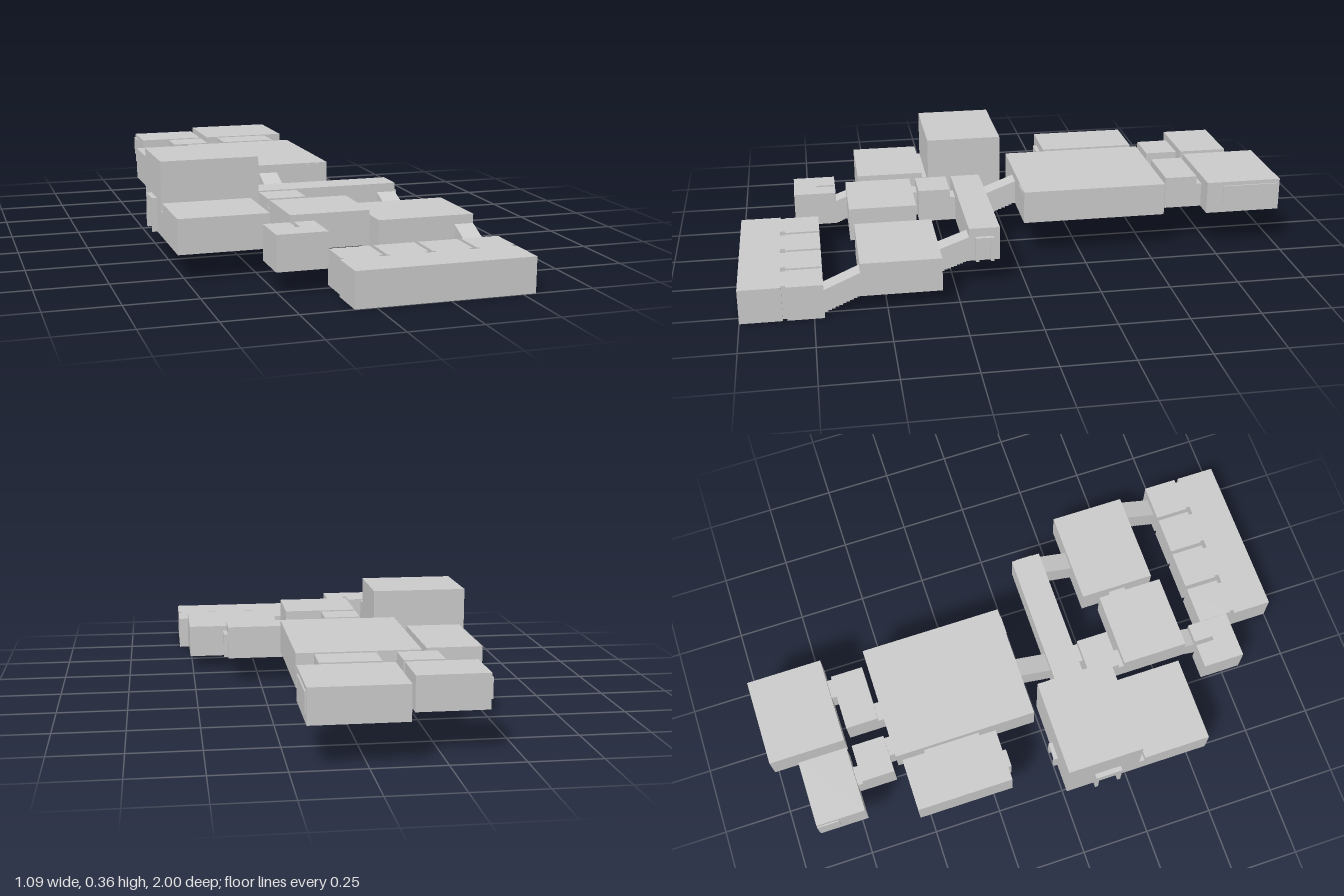
import * as THREE from 'three';

const material = new THREE.MeshStandardMaterial({ color: 0xcccccc, flatShading: true, side: THREE.DoubleSide });

export function createModel() {
  const group = new THREE.Group();

  const add = (name, geometry) => {
    const mesh = new THREE.Mesh(geometry, material);
    mesh.name = name;
    group.add(mesh);
    return mesh;
  };

  // Box given by its limits on each axis
  const block = (name, x0, x1, z0, z1, y0, y1) =>
    add(name, new THREE.BoxGeometry(x1 - x0, y1 - y0, z1 - z0))
      .position.set((x0 + x1) / 2, (y0 + y1) / 2, (z0 + z1) / 2);

  // Stair passage: sloped roof, stepped underside, descending towards +z
  const stairs = (name, x0, x1, z0, z1, yHigh, yLow, height = 0.09, steps = 10) => {
    const s = new THREE.Shape();
    s.moveTo(-z0, yHigh + height);
    s.lineTo(-z0, yHigh);
    for (let i = 1; i <= steps; i++) {
      const z = z0 + (z1 - z0) * i / steps;
      const y = yHigh + (yLow - yHigh) * i / steps;
      s.lineTo(-z, yHigh + (yLow - yHigh) * (i - 1) / steps);
      s.lineTo(-z, y);
    }
    s.lineTo(-z1, yLow + height);
    const g = new THREE.ExtrudeGeometry(s, { depth: x1 - x0, bevelEnabled: false });
    g.rotateY(Math.PI / 2);
    g.translate(x0, 0, 0);
    add(name, g);
  };

  // Door frame with an opening, standing out from a wall
  const doorFrame = (name, x, y, z, width, height, turn, depth = 0.015) => {
    const w = width / 2, t = 0.012;
    const s = new THREE.Shape([
      [-w, 0], [-w + t, 0], [-w + t, height - t], [w - t, height - t],
      [w - t, 0], [w, 0], [w, height], [-w, height],
    ].map(([a, b]) => new THREE.Vector2(a, b)));
    const frame = add(name, new THREE.ExtrudeGeometry(s, { depth, bevelEnabled: false }));
    frame.position.set(x, y, z);
    frame.rotation.y = turn;
  };

  // Upper level at the back
  const U = [0.145, 0.265], UD = [0.145, 0.235];
  block('backRoom', -0.13, 0.195, -1, -0.72, ...U);
  block('backSideRoom', -0.405, -0.16, -0.9, -0.72, ...U);
  block('leftLobby', -0.3, -0.16, -0.7, -0.58, ...U);
  block('rightLobby', -0.09, 0.12, -0.7, -0.58, ...U);
  block('mainHall', -0.25, 0.18, -0.56, -0.03, ...U);
  block('hallSideRoom', -0.465, -0.27, -0.54, -0.185, ...U);
  for (const [x0, x1, z0, z1] of [
    [-0.3, -0.23, -0.72, -0.7], [0.05, 0.12, -0.72, -0.7],
    [-0.23, -0.16, -0.58, -0.56], [-0.09, -0.02, -0.58, -0.56],
    [-0.27, -0.25, -0.455, -0.245],
  ]) block('upperDoorway', x0, x1, z0, z1, ...UD);
  block('backSideWindow', -0.41, -0.405, -0.9, -0.82, 0.18, 0.25);
  block('backWindow', 0.195, 0.2, -0.99, -0.78, 0.18, 0.25);
  block('hallWindow', 0.08, 0.15, -0.03, -0.027, 0.245, 0.26);
  doorFrame('hallSideRoomDoor', -0.375, 0.145, -0.185, 0.065, 0.09, 0);

  // Middle level
  const M = [0.095, 0.217], MD = [0.095, 0.185];
  block('tallRoom', -0.53, -0.18, 0.005, 0.285, 0.095, 0.36);
  block('leftRoom', -0.53, -0.215, 0.305, 0.555, ...M);
  block('corridor', -0.16, 0.37, 0.09, 0.2, ...M);
  block('centreLobby', -0.16, -0.02, 0.22, 0.338, ...M);
  block('centreRoom', -0.16, 0.12, 0.36, 0.605, ...M);
  for (const [x0, x1, z0, z1] of [
    [-0.53, -0.25, 0.285, 0.305], [-0.18, -0.16, 0.11, 0.18],
    [-0.09, -0.02, 0.2, 0.22], [-0.16, -0.09, 0.338, 0.36],
  ]) block('middleDoorway', x0, x1, z0, z1, ...MD);
  doorFrame('tallRoomSideDoor', -0.53, 0.095, 0.16, 0.1, 0.122, -Math.PI / 2, 0.018);
  doorFrame('tallRoomBackDoor', -0.39, 0.095, 0.005, 0.065, 0.09, Math.PI);
  doorFrame('corridorEndDoor', 0.37, 0.095, 0.145, 0.065, 0.09, Math.PI / 2);

  // Small split room beside the centre room
  block('smallRoom', -0.265, -0.09, 0.715, 0.8, 0.08, 0.203);
  block('smallRoomAlcove', -0.265, -0.175, 0.645, 0.715, 0.08, 0.203);
  block('smallRoomEntry', -0.16, -0.09, 0.645, 0.715, 0.08, 0.203);

  // Right room, half a level down
  block('rightRoom', 0.16, 0.51, 0.31, 0.59, 0.055, 0.175);
  doorFrame('rightRoomDoor', 0.16, 0.055, 0.45, 0.065, 0.085, -Math.PI / 2);

  // Lowest level: front room with a row of four cells
  block('frontRoom', -0.072, 0.545, 0.855, 1, 0, 0.123);
  for (const [x0, x1] of [[-0.063, 0.079], [0.094, 0.238], [0.252, 0.394], [0.408, 0.545]]) {
    block('cell', x0, x1, 0.715, 0.84, 0, 0.123);
    block('cellOpening', x0 + 0.006, Math.min(x1 - 0.014, 0.545), 0.84, 0.855, 0, 0.123);
  }

  // Stair passages between the levels
  stairs('hallStairs', -0.09, -0.02, -0.03, 0.1, 0.145, 0.095);
  stairs('rightRoomStairs', 0.3, 0.37, 0.2, 0.31, 0.095, 0.055);
  stairs('frontRoomStairs', 0.44, 0.51, 0.59, 0.715, 0.055, 0, 0.087);
  stairs('smallRoomStairs', -0.16, -0.09, 0.605, 0.645, 0.095, 0.08, 0.09, 4);

  return group;
}
